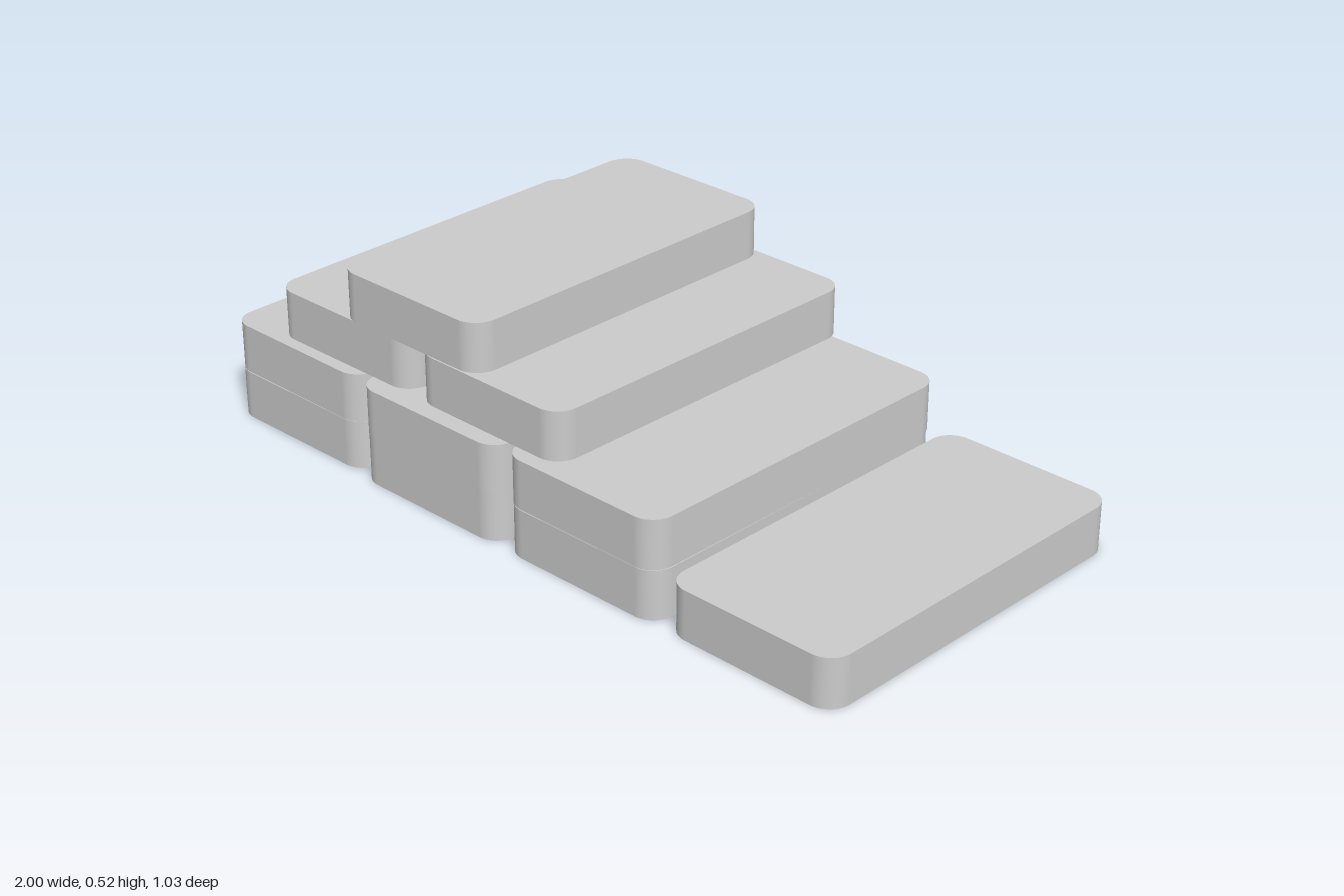
import * as THREE from 'three';

const W = 0.482, D = 0.98, H = 0.127, R = 0.06;

// Rounded-rectangle plan of one tray
function planShape() {
  const x = W / 2, y = D / 2;
  const s = new THREE.Shape();
  s.absarc(x - R, y - R, R, 0, Math.PI / 2);
  s.absarc(-x + R, y - R, R, Math.PI / 2, Math.PI);
  s.absarc(-x + R, -y + R, R, Math.PI, Math.PI * 1.5);
  s.absarc(x - R, -y + R, R, Math.PI * 1.5, Math.PI * 2);
  s.closePath();
  return s;
}

// Thin side wall following the plan, open at the bottom
function wallGeometry(shape) {
  const pts = shape.getPoints(8);
  if (pts[0].distanceTo(pts[pts.length - 1]) < 1e-6) pts.pop();
  const pos = [], idx = [], n = pts.length;
  pts.forEach((p, i) => {
    pos.push(p.x, 0, -p.y, p.x, H, -p.y);
    const a = 2 * i, b = 2 * ((i + 1) % n);
    idx.push(a, b, b + 1, a, b + 1, a + 1);
  });
  const g = new THREE.BufferGeometry();
  g.setAttribute('position', new THREE.Float32BufferAttribute(pos, 3));
  g.setIndex(idx);
  g.computeVertexNormals();
  return g;
}

export function createModel() {
  const model = new THREE.Group();
  model.name = 'stackedTrays';
  const material = new THREE.MeshStandardMaterial({ color: 0xcccccc, side: THREE.DoubleSide });

  const shape = planShape();
  const wallGeo = wallGeometry(shape);
  const lidGeo = new THREE.ShapeGeometry(shape, 8).rotateX(-Math.PI / 2).translate(0, H, 0);

  // Rows from the ground up: base height and [x, z, slight turn] of each tray
  const rows = [
    { y: 0, trays: [[-0.759, 0.006, 0.003], [-0.263, 0.02, 0.002], [0.242, 0.019, 0.002], [0.755, 0.015, -0.003]] },
    { y: 0.13, trays: [[-0.754, 0.008, -0.003], [-0.257, 0.026, 0.003], [0.245, 0.021, -0.003]] },
    { y: 0.257, trays: [[-0.611, -0.026, 0.004], [-0.093, -0.021, -0.004]] },
    { y: 0.391, trays: [[-0.356, -0.016, 0.003]] },
  ];

  rows.forEach(({ y, trays }, level) => {
    trays.forEach(([x, z, turn], i) => {
      const tray = new THREE.Group();
      tray.name = `trayRow${level + 1}Number${i + 1}`;
      const wall = new THREE.Mesh(wallGeo, material);
      wall.name = 'sideWall';
      const lid = new THREE.Mesh(lidGeo, material);
      lid.name = 'topPanel';
      tray.add(wall, lid);
      tray.position.set(x, y, z);
      tray.rotation.y = turn;
      model.add(tray);
    });
  });
  return model;
}
